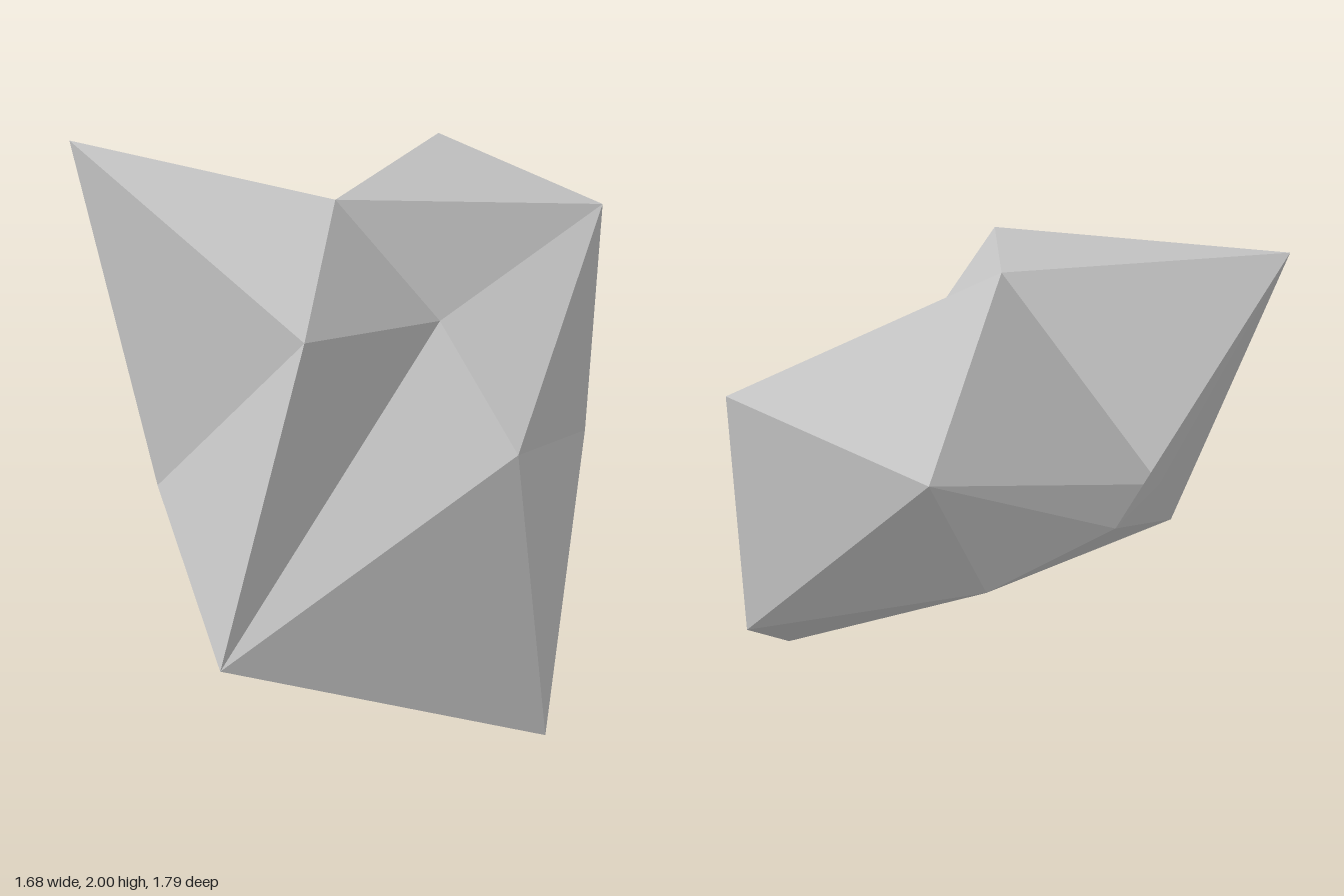
import * as THREE from 'three';

// Corners of the boulder: a dented box with a peak raised on some sides
const P = {
  frontTopRight: [-0.84, 2, 0.505],
  frontTopLeft: [0.345, 1.715, 0.505],
  backTopLeft: [0.345, 1.715, -0.9],
  backTopRight: [-0.465, 1.715, -0.9],
  frontLowRight: [-0.465, 0.77, 0.505],
  frontLowLeft: [0.345, 0.62, 0.895],
  backLowLeft: [0.345, 0.77, -0.9],
  backLowRight: [-0.465, 1.14, -0.62],
  topPeak: [-0.06, 1.89, 0],
  leftPeak: [0.635, 1.12, -0.195],
  rightPeak: [-0.67, 1.235, -0.195],
  leftDent: [0.25, 1.48, -0.195],
  rightDent: [-0.667, 1.26, 0.07],
  foot: [0.84, 0, -0.195],
};

// Triangles around a centre, counter-clockwise seen from outside
function fan(centre, rim, closed) {
  const tris = [];
  const n = closed ? rim.length : rim.length - 1;
  for (let i = 0; i < n; i++) tris.push([centre, rim[i], rim[(i + 1) % rim.length]]);
  return tris;
}

export function createModel() {
  const group = new THREE.Group();
  group.name = 'rock';
  const stone = new THREE.MeshStandardMaterial({ color: 0xc4c4c4, side: THREE.DoubleSide, flatShading: true });
  stone.name = 'stone grey';

  const p = P;
  const tris = [
    // top
    ...fan(p.topPeak, [p.frontTopLeft, p.leftDent, p.backTopLeft, p.backTopRight, p.rightDent, p.frontTopRight], true),
    // left side
    ...fan(p.leftPeak, [p.frontLowLeft, p.foot, p.backLowLeft, p.backTopLeft, p.leftDent], true),
    [p.frontTopLeft, p.frontLowLeft, p.leftDent],
    // right side
    ...fan(p.rightPeak, [p.frontLowRight, p.frontTopRight, p.rightDent, p.backTopRight, p.backLowRight], true),
    // front
    ...fan(p.frontLowRight, [p.frontLowLeft, p.frontTopLeft, p.frontTopRight], false),
    // back
    ...fan(p.backLowLeft, [p.backLowRight, p.backTopRight, p.backTopLeft], false),
    // underside
    ...fan(p.foot, [p.frontLowLeft, p.frontLowRight, p.backLowRight, p.backLowLeft], false),
  ];

  const geometry = new THREE.BufferGeometry();
  geometry.setAttribute('position', new THREE.Float32BufferAttribute(tris.flat(2), 3));
  geometry.computeVertexNormals();
  const boulder = new THREE.Mesh(geometry, stone);
  boulder.name = 'boulder';
  group.add(boulder);
  return group;
}
